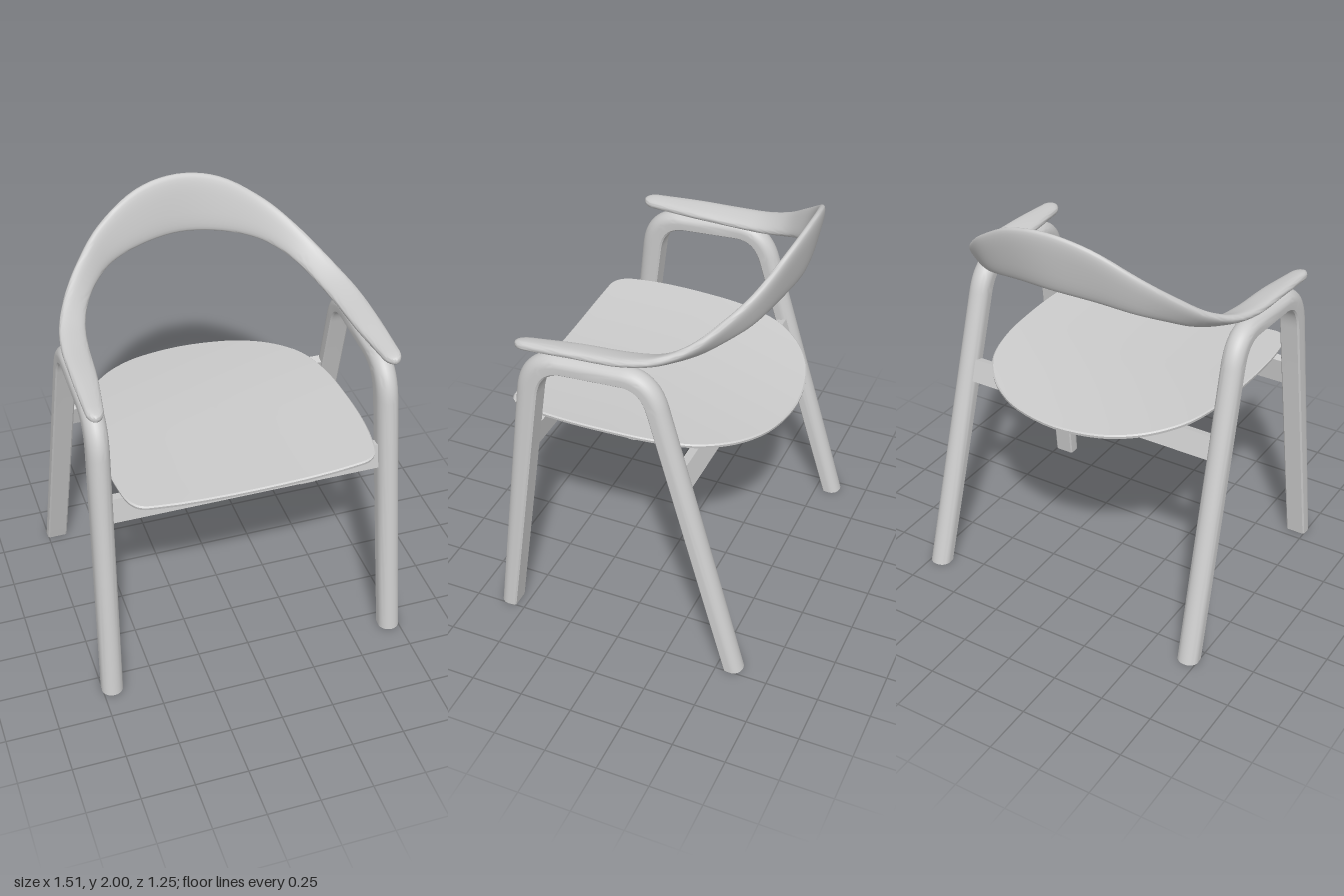
import * as THREE from 'three';
import { toCreasedNormals } from 'three/addons/utils/BufferGeometryUtils.js';

const V = (x, y, z) => new THREE.Vector3(x, y, z);
const material = new THREE.MeshStandardMaterial({ color: 0xcccccc });

// Skin a list of closed rings, cap both ends, and face the surface outwards.
function loft(rings, crease = 0.6) {
  const n = rings[0].length, tris = [];
  for (let i = 0; i < rings.length - 1; i++) {
    for (let j = 0; j < n; j++) {
      const k = (j + 1) % n, a = rings[i], b = rings[i + 1];
      tris.push([a[j], a[k], b[k]], [a[j], b[k], b[j]]);
    }
  }
  const centre = (r) => r.reduce((s, p) => s.add(p), V(0, 0, 0)).divideScalar(n);
  const first = rings[0], last = rings[rings.length - 1];
  const c0 = centre(first), c1 = centre(last);
  for (let j = 0; j < n; j++) {
    const k = (j + 1) % n;
    tris.push([c0, first[k], first[j]], [c1, last[j], last[k]]);
  }
  const cross = V(0, 0, 0);
  const volume = tris.reduce((s, [a, b, c]) => s + a.dot(cross.crossVectors(b, c)), 0);
  const points = tris.flatMap(([a, b, c]) => (volume < 0 ? [a, c, b] : [a, b, c]));
  return toCreasedNormals(new THREE.BufferGeometry().setFromPoints(points), crease);
}

function add(group, name, geometry) {
  const mesh = new THREE.Mesh(geometry, material);
  mesh.name = name;
  group.add(mesh);
  return mesh;
}

// Bent side frame: both legs and the top bar, flat inside and round outside.
function legFrame(side) {
  // z, y, half depth
  const foot = V(0.587, 0, 0.043), knee = V(0.41, 1.452, 0.056);
  const hip = V(-0.15, 1.49, 0.042), heel = V(-0.58, 0, 0.04);
  const toward = (a, b, d) => a.clone().lerp(b, d / a.distanceTo(b));
  const path = new THREE.CurvePath();
  const k0 = toward(knee, foot, 0.17), k1 = toward(knee, hip, 0.15);
  const h0 = toward(hip, knee, 0.13), h1 = toward(hip, heel, 0.15);
  k1.z = h0.z = 0.04;
  const stations = [];
  const sample = (curve, steps, from) => {
    for (let i = from; i <= steps; i++) {
      stations.push([curve.getPoint(i / steps), curve.getTangent(i / steps)]);
    }
  };
  sample(new THREE.LineCurve3(foot, k0), 4, 0);
  sample(new THREE.QuadraticBezierCurve3(k0, knee, k1), 14, 1);
  sample(new THREE.LineCurve3(k1, h0), 3, 1);
  sample(new THREE.QuadraticBezierCurve3(h0, hip, h1), 14, 1);
  sample(new THREE.LineCurve3(h1, heel), 4, 1);

  // D-shaped section: x offset, outward offset (in half depths)
  const section = [[0.042, -1], [0.049, -0.85]];
  for (let i = 0; i <= 16; i++) {
    const a = (i / 16) * Math.PI;
    section.push([0.051 * Math.cos(a), -0.1 + 1.1 * Math.sin(a)]);
  }
  section.push([-0.049, -0.85], [-0.042, -1]);

  return loft(stations.map(([p, t], i) => {
    let nz = t.y, ny = -t.x;
    const len = Math.hypot(nz, ny);
    nz /= len; ny /= len;
    // feet are cut level with the floor
    if (i === 0) { nz = 1; ny = 0; }
    if (i === stations.length - 1) { nz = -1; ny = 0; }
    return section.map(([dx, dn]) => {
      const d = dn * p.z, y = p.y + ny * d;
      return V(side * (0.704 - 0.026 * y + dx), y, p.x + nz * d);
    });
  }));
}

// Twisting band: upright behind the sitter, turning flat along the arms.
function backAndArms() {
  const outer = [[0, 2, -0.603], [0.2, 1.965, -0.583], [0.4, 1.85, -0.51], [0.52, 1.75, -0.415],
    [0.615, 1.655, -0.305], [0.68, 1.59, -0.17], [0.71, 1.562, -0.03], [0.718, 1.547, 0.2], [0.717, 1.53, 0.41]];
  const inner = [[0, 1.715, -0.56], [0.2, 1.7, -0.53], [0.36, 1.663, -0.475], [0.45, 1.625, -0.4],
    [0.518, 1.58, -0.305], [0.562, 1.545, -0.18], [0.585, 1.532, -0.03], [0.603, 1.525, 0.2], [0.633, 1.515, 0.41]];
  const mirrored = (pts) => new THREE.CatmullRomCurve3([
    ...pts.slice(1).reverse().map(([x, y, z]) => V(-x, y, z)), ...pts.map((p) => V(...p))]);
  const A = mirrored(outer), B = mirrored(inner);

  const ring = (t, tip = 0) => {
    const a = A.getPoint(t), b = B.getPoint(t);
    const along = A.getTangent(t).add(B.getTangent(t)).normalize();
    const u = a.clone().sub(b).multiplyScalar(0.5);
    const v = along.clone().cross(u).normalize().multiplyScalar(0.023);
    const c = a.add(b).multiplyScalar(0.5).addScaledVector(along, 0.07 * Math.sin(tip));
    u.multiplyScalar(Math.cos(tip));
    v.multiplyScalar(Math.sqrt(Math.cos(tip)));
    const soft = (s) => Math.sign(s) * Math.abs(s) ** 0.75;
    return Array.from({ length: 28 }, (_, i) => {
      const q = (i / 28) * Math.PI * 2;
      return c.clone().addScaledVector(u, soft(Math.cos(q))).addScaledVector(v, soft(Math.sin(q)));
    });
  };
  const half = [];
  for (let i = 0; i <= 40; i++) half.push(ring(0.5 + i / 80));
  for (let i = 1; i <= 7; i++) half.push(ring(1, (i / 7) * 1.5)); // rounded tip
  const other = half.slice(1).reverse().map((r) => r.map((p) => V(-p.x, p.y, p.z)));
  return loft([...other, ...half], 0.9);
}

// Thin dished seat with a round back and soft front corners.
function seat() {
  const edge = [[0.22, -0.552], [0.34, -0.498], [0.44, -0.42], [0.535, -0.29], [0.588, -0.1], [0.606, 0.1],
    [0.61, 0.3], [0.598, 0.45], [0.575, 0.555], [0.535, 0.597], [0.45, 0.608]];
  const outline = new THREE.CatmullRomCurve3([
    V(0, 0, -0.585), ...edge.map(([x, z]) => V(x, 0, z)), V(0, 0, 0.612),
    ...edge.slice().reverse().map(([x, z]) => V(-x, 0, z))], true, 'centripetal').getPoints(96).slice(0, -1);
  const height = (x, z) => 1.074 + 0.032 * (x / 0.6) ** 2 - 0.03 * Math.max(0, (0.1 - z) / 0.68) ** 2;
  // scale of the outline, drop below the top surface
  const profile = [[0.02, 0], [0.25, 0], [0.5, 0], [0.75, 0], [0.9, 0], [0.99, 0], [1, 0.006],
    [0.997, 0.018], [0.975, 0.027], [0.75, 0.027], [0.5, 0.027], [0.25, 0.027], [0.02, 0.027]];
  return loft(profile.map(([s, drop]) => outline.map((p) => {
    const x = p.x * s, z = p.z * s;
    return V(x, height(x, z) - drop, z);
  })), 0.5);
}

export function createModel() {
  const model = new THREE.Group();
  model.name = 'armchair';

  add(model, 'backAndArms', backAndArms());
  add(model, 'seat', seat());

  // Cross rails leaning with the legs
  const frontRail = add(model, 'frontRail', new THREE.BoxGeometry(1.29, 0.125, 0.045));
  frontRail.position.set(0, 0.993, 0.452);
  frontRail.rotation.x = -0.12;
  const backRail = add(model, 'backRail', new THREE.BoxGeometry(1.29, 0.11, 0.045));
  backRail.position.set(0, 0.982, -0.292);
  backRail.rotation.x = 0.28;

  const screw = new THREE.CylinderGeometry(0.012, 0.012, 0.012, 16);
  for (const side of [1, -1]) {
    add(model, side > 0 ? 'leftLegFrame' : 'rightLegFrame', legFrame(side));

    // Seat bearers between the rails
    const bearer = add(model, 'seatBearer', new THREE.BoxGeometry(0.06, 0.055, 0.72));
    bearer.position.set(side * 0.38, 1.016, 0.08);
    bearer.rotation.x = -0.03;
    for (const z of [0.36, -0.2]) {
      add(model, 'bearerScrew', screw).position.set(side * 0.38, 0.982 + 0.03 * z, z);
    }
    // Screws under the arm bar
    for (const z of [0.2, 0]) {
      add(model, 'armScrew', screw).position.set(side * 0.667, 1.439 - 0.068 * z, z);
    }
  }
  return model;
}
